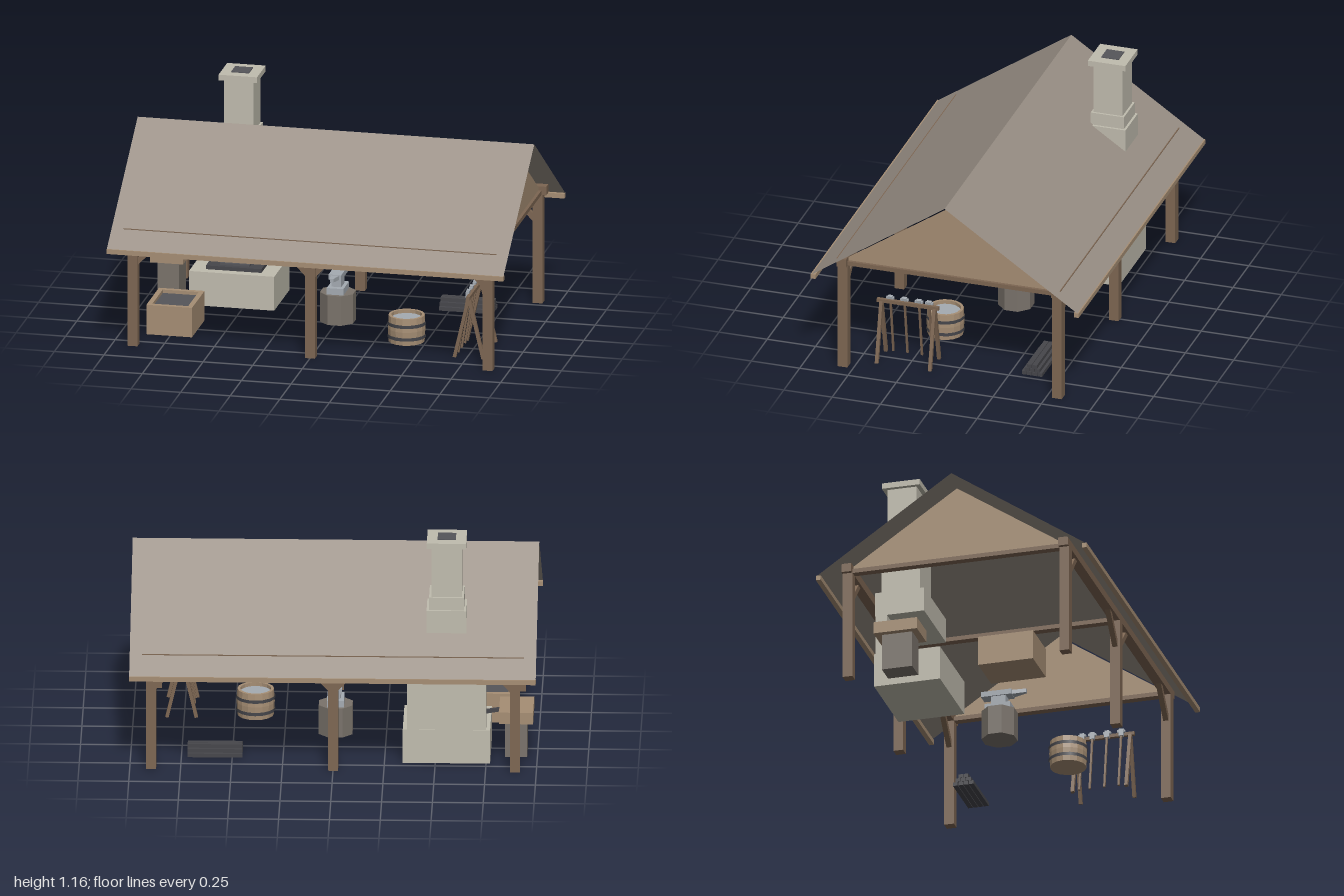
import * as THREE from 'three';

const mat = (name, color, side = THREE.FrontSide) => {
  const m = new THREE.MeshStandardMaterial({ color, side });
  m.name = name;
  return m;
};

export function createModel() {
  const root = new THREE.Group();
  root.name = 'openForge';
  const timber = mat('dark timber', 0x7d6652);
  const plank = mat('light planks', 0xa68e74, THREE.DoubleSide);
  const shingle = mat('roof shingle', 0x988e84, THREE.DoubleSide);
  const stone = mat('stone', 0xc0bcae);
  const charcoal = mat('charcoal', 0x55555a);
  const iron = mat('dark iron', 0x46464b);
  const steel = mat('steel', 0xa5abb2);
  const oldWood = mat('weathered wood', 0x7a736b);

  const add = (name, geo, m, parent = root) => {
    const mesh = new THREE.Mesh(geo, m);
    mesh.name = name;
    parent.add(mesh);
    return mesh;
  };
  // Box given by its limits on each axis
  const box = (name, m, x0, x1, y0, y1, z0, z1, parent) => {
    const b = add(name, new THREE.BoxGeometry(x1 - x0, y1 - y0, z1 - z0), m, parent);
    b.position.set((x0 + x1) / 2, (y0 + y1) / 2, (z0 + z1) / 2);
    return b;
  };
  // Square bar running between two points
  const bar = (name, m, a, b, w, parent) => {
    const p = new THREE.Vector3(...a), q = new THREE.Vector3(...b);
    const mesh = add(name, new THREE.BoxGeometry(w, w, p.distanceTo(q)), m, parent);
    mesh.position.copy(p).add(q).multiplyScalar(0.5);
    mesh.lookAt(q);
    return mesh;
  };
  const group = (name) => {
    const g = new THREE.Group();
    g.name = name;
    root.add(g);
    return g;
  };

  // Timber frame: posts, knee braces, plates and tie beams
  const frame = group('timberFrame');
  for (const s of [-1, 1]) {
    const z = s * 0.555;
    for (const x of [-0.895, 0, 0.895]) {
      box('post', timber, x - 0.025, x + 0.025, 0, 0.565, z - 0.025, z + 0.025, frame);
      for (const d of [-1, 1]) {
        if (x * d > 0) continue;
        bar('kneeBrace', timber, [x + d * 0.01, 0.42, z], [x + d * 0.15, 0.57, z], 0.026, frame);
      }
    }
    box('wallPlate', timber, -0.94, 0.94, 0.56, 0.604, z - 0.025, z + 0.025, frame);
    box('eaveBoard', plank, -1, 1, 0.504, 0.528, s * 0.681 - 0.0125, s * 0.681 + 0.0125, frame);
  }
  for (const x of [-0.895, 0, 0.895])
    box('tieBeam', timber, x - 0.02, x + 0.02, 0.56, 0.582, -0.54, 0.54, frame);

  // Roof: two thin slopes with a gable inside each end
  const roof = group('roof');
  const rise = 0.468, run = 0.688;
  for (const s of [-1, 1]) {
    const slope = add('roofSlope', new THREE.PlaneGeometry(2, Math.hypot(rise, run)), shingle, roof);
    slope.position.set(0, 0.995 - rise / 2, s * run / 2);
    slope.rotation.set(-Math.atan2(run, rise), 0, 0);
    if (s < 0) slope.rotation.set(Math.atan2(run, rise), Math.PI, 0, 'XYZ');

    const tri = new THREE.Shape([[-0.56, 0.58], [0.56, 0.58], [0, 0.957]].map(p => new THREE.Vector2(...p)));
    const gable = add('gable', new THREE.ShapeGeometry(tri), plank, roof);
    gable.rotation.y = s * Math.PI / 2;
    gable.position.x = s * 0.9;
  }

  // Stone hearth, hood and stepped chimney
  const forge = group('hearthAndChimney');
  const cx = -0.555;
  box('hearthBase', stone, cx - 0.215, cx + 0.215, 0, 0.175, -0.462, -0.125, forge);
  box('backWall', stone, cx - 0.195, cx + 0.195, 0.175, 0.39, -0.46, -0.402, forge);
  box('hood', stone, cx - 0.195, cx + 0.195, 0.39, 0.515, -0.462, -0.212, forge);
  for (const [name, h, y0, y1] of [
    ['chimneyFoot', 0.098, 0.515, 0.8], ['chimneyStep', 0.086, 0.8, 0.865],
    ['chimneyStack', 0.075, 0.865, 1.125], ['chimneyCap', 0.097, 1.125, 1.154],
  ]) box(name, stone, cx - h, cx + h, y0, y1, -0.36 - h, -0.36 + h, forge);
  box('flue', charcoal, cx - 0.045, cx + 0.045, 1.15, 1.158, -0.405, -0.315, forge);
  box('firePan', iron, -0.695, -0.415, 0.175, 0.194, -0.39, -0.172, forge);
  box('coals', charcoal, -0.63, -0.48, 0.194, 0.204, -0.33, -0.197, forge);

  // Bellows on a block, with a nozzle toward the fire
  const bellows = group('bellows');
  box('bellowsBlock', oldWood, -0.95, -0.84, 0, 0.187, -0.37, -0.215, bellows);
  box('bellowsBody', plank, -0.98, -0.812, 0.187, 0.247, -0.405, -0.182, bellows);
  bar('nozzle', iron, [-0.82, 0.222, -0.288], [-0.74, 0.208, -0.288], 0.018, bellows);

  // Open coal bin
  const bin = group('coalBin');
  box('binFloor', plank, -0.87, -0.64, 0, 0.02, 0.1, 0.38, bin);
  for (const x of [-0.87, -0.665]) box('binSide', plank, x, x + 0.025, 0.02, 0.152, 0.1, 0.38, bin);
  for (const z of [0.1, 0.355]) box('binEnd', plank, -0.845, -0.665, 0.02, 0.152, z, z + 0.025, bin);
  box('binCoal', charcoal, -0.845, -0.665, 0.02, 0.135, 0.125, 0.355, bin);

  // Water barrel with two hoops
  const barrel = group('waterBarrel');
  barrel.position.set(0.4, 0, 0.192);
  const wall = [[0, 0], [0.09, 0], [0.094, 0.068], [0.09, 0.135], [0.076, 0.135], [0.076, 0.1]];
  const staves = new THREE.LatheGeometry(wall.map(p => new THREE.Vector2(...p)), 16).toNonIndexed();
  staves.computeVertexNormals();
  add('staves', staves, plank, barrel);
  for (const y of [0.032, 0.097]) {
    const hoop = add('hoop', new THREE.CylinderGeometry(0.097, 0.097, 0.017, 16, 1, true), iron, barrel);
    hoop.position.y = y;
  }
  add('water', new THREE.CylinderGeometry(0.077, 0.077, 0.004, 16), steel, barrel).position.y = 0.115;

  // Anvil on an eight-sided stump
  const anvil = group('anvil');
  const stumpGeo = new THREE.CylinderGeometry(0.09, 0.09, 0.152, 8).toNonIndexed();
  stumpGeo.computeVertexNormals();
  const stump = add('stump', stumpGeo, oldWood, anvil);
  stump.position.set(0, 0.076, -0.043);
  stump.rotation.y = Math.PI / 8;
  box('anvilFoot', steel, -0.042, 0.042, 0.152, 0.185, -0.107, 0.022, anvil);
  box('anvilWaist', steel, -0.025, 0.025, 0.185, 0.23, -0.079, -0.005, anvil);
  box('anvilFace', steel, -0.032, 0.032, 0.23, 0.257, -0.13, 0.026, anvil);
  const hornGeo = new THREE.BoxGeometry(0.044, 0.022, 0.07);
  const hp = hornGeo.attributes.position;
  for (let i = 0; i < hp.count; i++)
    if (hp.getZ(i) > 0) hp.setXYZ(i, hp.getX(i) * 0.4, hp.getY(i) * 0.85 + 0.006, hp.getZ(i));
  hornGeo.computeVertexNormals();
  add('horn', hornGeo, steel, anvil).position.set(0, 0.243, 0.06);

  // Stacked iron bars
  const stack = group('ironBars');
  for (let row = 0; row < 3; row++)
    for (let i = 0; i < 4 - row; i++) {
      const z = -0.36 + (i - (3 - row) / 2) * 0.027;
      box('ironBar', iron, 0.45, 0.72, row * 0.02, row * 0.02 + 0.019, z - 0.012, z + 0.012, stack);
    }

  // Trestle rack with leaning hammers
  const rack = group('toolRack');
  for (const z of [0.405, 0.13])
    for (const x of [0.69, 0.835]) bar('rackLeg', timber, [x, 0.003, z], [0.762, 0.315, z], 0.017, rack);
  box('rackRail', timber, 0.753, 0.771, 0.307, 0.325, 0.107, 0.427, rack);
  for (const z of [0.363, 0.29, 0.215, 0.162]) {
    bar('toolHandle', timber, [0.7, 0.015, z], [0.748, 0.325, z], 0.01, rack);
    const head = box('toolHead', steel, 0.739, 0.757, 0.302, 0.341, z - 0.012, z + 0.012, rack);
    head.rotation.z = -0.15;
    box('toolPeen', steel, 0.741, 0.757, 0.322, 0.335, z - 0.02, z + 0.02, rack);
  }
  return root;
}
